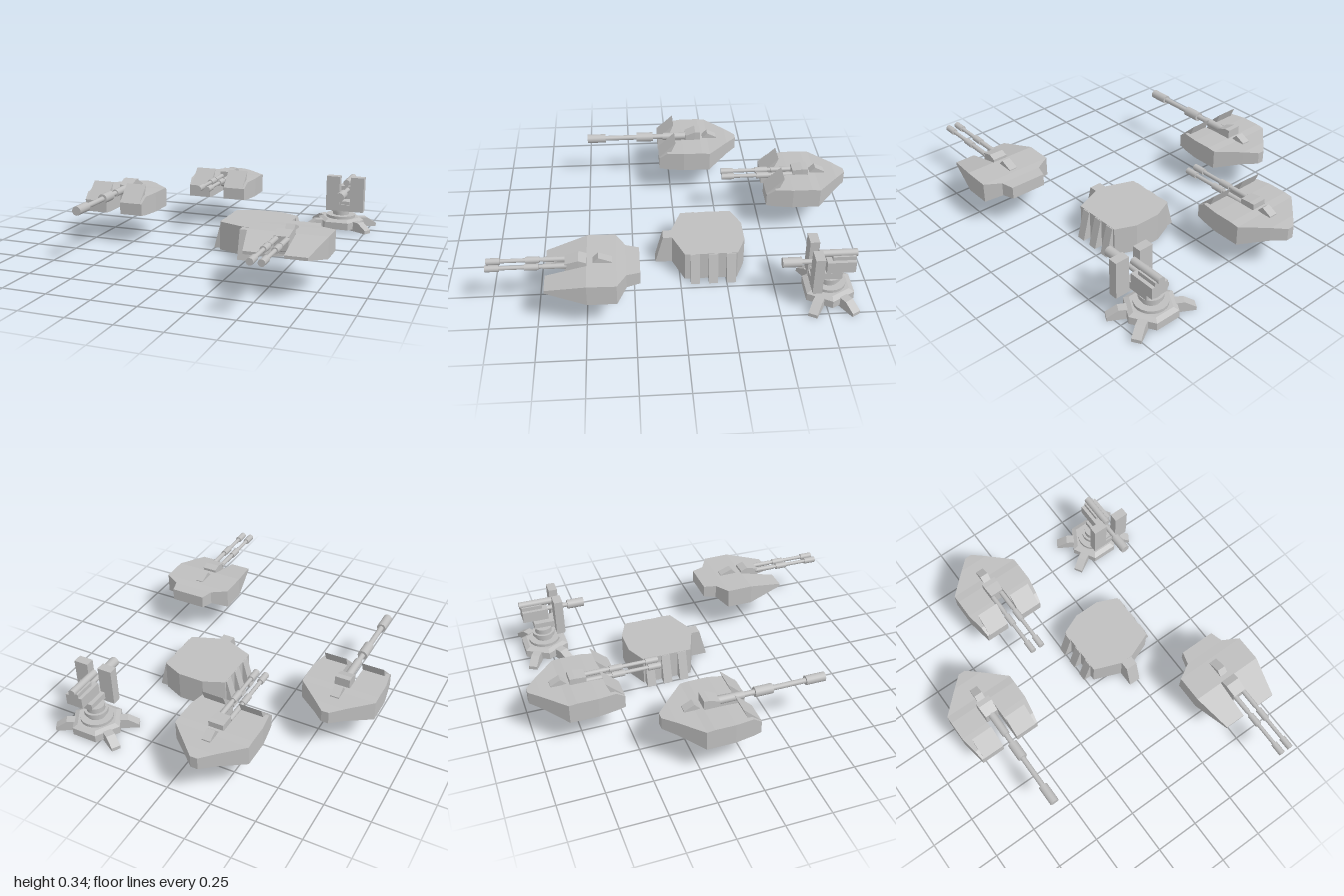
import * as THREE from 'three';

const grey = new THREE.MeshStandardMaterial({ color: 0xbfbfbf });
grey.name = 'plain grey';

function add(parent, name, geo, x = 0, y = 0, z = 0) {
  const m = new THREE.Mesh(geo, grey);
  m.name = name;
  m.position.set(x, y, z);
  parent.add(m);
  return m;
}

const box = (w, h, d) => new THREE.BoxGeometry(w, h, d);

// Faceted solid through rectangular sections; row = [z, x0, x1, yBottom, yTop], z rising
function loft(rows, side = 1) {
  const rings = rows.map(([z, a, b, y0, y1]) => {
    const x0 = side > 0 ? a : -b, x1 = side > 0 ? b : -a;
    return [[x0, y0, z], [x1, y0, z], [x1, y1, z], [x0, y1, z]];
  });
  const pos = [];
  const quad = (a, b, c, d) => pos.push(...a, ...b, ...c, ...a, ...c, ...d);
  for (let i = 0; i < rings.length - 1; i++) {
    const p = rings[i], q = rings[i + 1];
    for (let k = 0; k < 4; k++) quad(p[k], p[(k + 1) % 4], q[(k + 1) % 4], q[k]);
  }
  quad(...[...rings[0]].reverse());
  quad(...rings[rings.length - 1]);
  const g = new THREE.BufferGeometry();
  g.setAttribute('position', new THREE.Float32BufferAttribute(pos, 3));
  g.computeVertexNormals();
  return g;
}

// Flat profile extruded along z, centred on z = 0
function slab(points, depth) {
  const s = new THREE.Shape(points.map(([x, y]) => new THREE.Vector2(x, y)));
  return new THREE.ExtrudeGeometry(s, { depth, bevelEnabled: false }).translate(0, 0, -depth / 2);
}

// Stepped barrel along z; segments = [zStart, zEnd, radius]
function barrel(parent, x, y, segments) {
  const g = new THREE.Group();
  g.name = 'barrel';
  for (const [a, b, r] of segments) {
    const geo = new THREE.CylinderGeometry(r, r, b - a, 14).rotateX(Math.PI / 2);
    add(g, 'barrelSection', geo, x, y, (a + b) / 2);
  }
  // Dished muzzle rim
  const [, end, r] = segments[segments.length - 1];
  add(g, 'muzzleRim', new THREE.TorusGeometry(r * 0.75, r * 0.22, 6, 14), x, y, end - r * 0.2);
  parent.add(g);
}

function twinBarrels(parent, z, y) {
  for (const s of [-1, 1]) {
    barrel(parent, s * 0.028, y, [
      [z, z + 0.12, 0.014], [z + 0.12, z + 0.36, 0.011],
      [z + 0.14, z + 0.21, 0.018], [z + 0.34, z + 0.41, 0.018],
    ]);
  }
}

// Sight box with a sloping roof
function sight(parent, z0, z1, top) {
  add(parent, 'sight', loft([
    [z0, -0.024, 0.024, 0.27, 0.292], [z1 - 0.03, -0.024, 0.024, 0.27, top],
    [z1, -0.024, 0.024, 0.27, 0.29],
  ]));
}

// Round-backed turret with two raised cheek shields
function shieldedTurret(name, mantletTop) {
  const g = new THREE.Group();
  g.name = name;
  add(g, 'hull', loft([
    [-0.41, -0.02, 0.02, 0.21, 0.28], [-0.35, -0.085, 0.085, 0.205, 0.285],
    [-0.235, -0.207, 0.207, 0.175, 0.285], [-0.19, -0.207, 0.207, 0.175, 0.29],
  ]));
  for (const s of [-1, 1]) {
    add(g, 'cheek', loft([
      [-0.19, 0.045, 0.207, 0.175, 0.29], [-0.08, 0.045, 0.207, 0.175, 0.29],
      [0.02, 0.045, 0.19, 0.175, 0.285], [0.068, 0.045, 0.182, 0.18, 0.25],
    ], s));
    const shield = slab([[-0.07, 0.25], [-0.02, 0.27], [0.005, 0.285], [0.03, 0.345]], 0.125);
    shield.rotateY(Math.PI / 2); // profile x becomes -z
    add(g, 'cheekShield', shield, s * 0.1075, 0, 0);
  }
  add(g, 'mantlet', loft([
    [-0.19, -0.042, 0.042, 0.2, mantletTop], [-0.16, -0.042, 0.042, 0.2, mantletTop],
    [-0.1, -0.038, 0.038, 0.225, 0.315],
  ]));
  add(g, 'mantletBase', box(0.08, 0.05, 0.05), 0, 0.205, -0.18);
  sight(g, -0.29, -0.205, 0.32);
  return g;
}

// Low turret with wedge prongs
function wedgeTurret() {
  const g = new THREE.Group();
  g.name = 'wedgeTurret';
  add(g, 'hull', loft([
    [0.22, -0.102, 0.102, 0.21, 0.28], [0.29, -0.122, 0.122, 0.205, 0.283],
    [0.34, -0.21, 0.21, 0.175, 0.287], [0.49, -0.21, 0.21, 0.175, 0.29],
  ]));
  for (const s of [-1, 1]) {
    add(g, 'prong', loft([
      [0.49, 0.045, 0.21, 0.175, 0.29], [0.703, 0.045, 0.163, 0.222, 0.238],
    ], s));
  }
  add(g, 'mantlet', loft([
    [0.49, -0.042, 0.042, 0.2, 0.305], [0.53, -0.042, 0.042, 0.2, 0.32],
    [0.6, -0.038, 0.038, 0.225, 0.3],
  ]));
  sight(g, 0.36, 0.46, 0.32);
  twinBarrels(g, 0.59, 0.285);
  return g;
}

// Eight-sided plinth with side buttresses and a front brace
function plinth() {
  const g = new THREE.Group();
  g.name = 'plinth';
  const half = [[0.035, 0.035], [0.19, -0.025], [0.19, -0.31], [0.075, -0.36]];
  const outline = [...half, ...half.map(([x, z]) => [-x, z]).reverse()];
  const body = slab(outline.map(([x, z]) => [x, -z]), 0.167).rotateX(-Math.PI / 2);
  add(g, 'plinthBody', body, 0, 0.0835, 0);
  for (const s of [-1, 1]) for (const z of [-0.275, -0.178, -0.08]) {
    const rib = slab([[0.18, 0], [0.238, 0], [0.195, 0.165], [0.18, 0.165]].map(([x, y]) => [s * x, y]), 0.05);
    add(g, 'buttress', rib, 0, 0, z);
  }
  const brace = slab([[-0.02, 0], [-0.128, 0], [-0.085, 0.165], [-0.02, 0.165]], 0.068).rotateY(Math.PI / 2);
  add(g, 'frontBrace', brace);
  return g;
}

// Four-legged mount with a shielded gun
function pedestalGun() {
  const g = new THREE.Group();
  g.name = 'pedestalGun';
  const hex = (rt, rb, h) => new THREE.CylinderGeometry(rt, rb, h, 6).toNonIndexed().rotateY(Math.PI / 6);
  for (const [name, rt, rb, y0, y1] of [['base', 0.145, 0.145, 0.012, 0.055], ['baseCap', 0.115, 0.145, 0.055, 0.068]]) {
    const geo = hex(rt, rb, y1 - y0);
    geo.computeVertexNormals();
    add(g, name, geo, 0, (y0 + y1) / 2, 0);
  }
  for (const [r, y0, y1] of [[0.09, 0.06, 0.085], [0.05, 0.08, 0.16], [0.065, 0.108, 0.13]]) {
    add(g, 'column', new THREE.CylinderGeometry(r, r, y1 - y0, 20), 0, (y0 + y1) / 2, 0);
  }
  for (const a of [0.53, Math.PI - 0.53, Math.PI + 0.53, -0.53]) {
    const leg = slab([[0.09, 0], [0.225, 0], [0.225, 0.02], [0.165, 0.058], [0.09, 0.058]], 0.05);
    add(g, 'leg', leg).rotation.y = a;
  }
  // Yoke and shield plates
  add(g, 'yokeArm', box(0.09, 0.04, 0.16), 0.03, 0.17, 0.03);
  add(g, 'yokeBar', box(0.23, 0.04, 0.045), 0.045, 0.15, 0.095);
  for (const s of [-1, 1]) add(g, 'shieldPlate', box(0.082, 0.21, 0.05), 0.045 + s * 0.0745, 0.24, 0.095);
  // Gun
  add(g, 'gunCradle', box(0.05, 0.06, 0.07), 0.045, 0.2, 0);
  add(g, 'receiver', box(0.1, 0.065, 0.15), 0.045, 0.24, -0.035);
  add(g, 'receiverTop', box(0.06, 0.03, 0.12), 0.045, 0.28, -0.05);
  barrel(g, 0.045, 0.3, [[-0.12, 0.08, 0.02]]);
  barrel(g, 0.045, 0.25, [[0.03, 0.19, 0.014], [0.165, 0.265, 0.027]]);
  return g;
}

export function createModel() {
  const model = new THREE.Group();
  model.name = 'turretSet';

  const single = shieldedTurret('singleGunTurret', 0.34);
  barrel(single, 0, 0.295, [
    [-0.12, 0.04, 0.022], [0.04, 0.42, 0.015], [0.1, 0.2, 0.028], [0.39, 0.5, 0.026],
  ]);
  single.position.x = -0.595;

  const twin = shieldedTurret('twinGunTurret', 0.322);
  twinBarrels(twin, -0.1, 0.285);
  twin.position.set(-0.167, 0, -0.59);

  const wedge = wedgeTurret();
  wedge.position.x = 0.587;

  const base = plinth();
  base.position.x = 0.231;

  const gun = pedestalGun();
  gun.position.set(0.577, 0, -0.775);

  model.add(single, twin, wedge, base, gun);
  return model;
}
